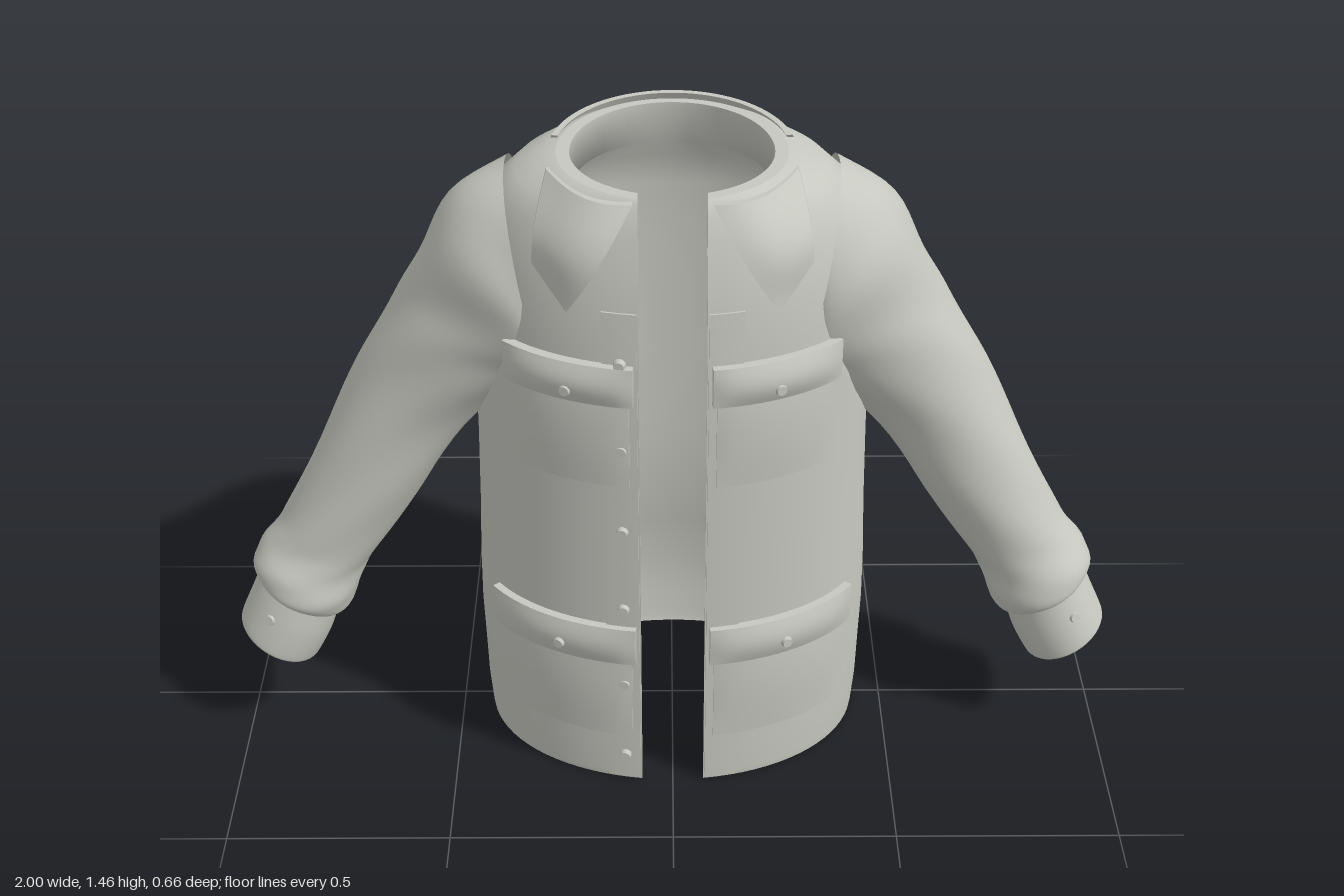
import * as THREE from 'three';

const fabric = new THREE.MeshStandardMaterial({ color: 0xc6c7bf, side: THREE.DoubleSide });
fabric.name = 'pale grey fabric';

// Body cross-sections: y, half width, front depth, back depth
const BODY = [
  [0.005, 0.43, 0.312, 0.29], [0.02, 0.432, 0.314, 0.294], [0.1, 0.438, 0.313, 0.303],
  [0.2, 0.44, 0.311, 0.308], [0.32, 0.443, 0.31, 0.293], [0.45, 0.441, 0.31, 0.276],
  [0.6, 0.435, 0.31, 0.274], [0.8, 0.43, 0.31, 0.279], [1.0, 0.428, 0.308, 0.283],
  [1.15, 0.425, 0.302, 0.286], [1.25, 0.415, 0.29, 0.285], [1.32, 0.4, 0.275, 0.279],
  [1.39, 0.37, 0.258, 0.268], [1.43, 0.325, 0.243, 0.26], [1.455, 0.27, 0.232, 0.25], [1.462, 0.24, 0.225, 0.245],
];
// Inside of the neck band, then the lining
const LINING = [
  [1.462, 0.212, 0.2, 0.226], [1.37, 0.214, 0.2, 0.23],
  ...BODY.filter(k => k[0] < 1.35).reverse().map(([y, w, f, b]) => [y, w - 0.016, f - 0.016, b - 0.016]),
];
const OPENING = 0.07;

function sectionAt(y) {
  let i = 0;
  while (i < BODY.length - 2 && BODY[i + 1][0] < y) i++;
  const t = THREE.MathUtils.clamp((y - BODY[i][0]) / (BODY[i + 1][0] - BODY[i][0]), 0, 1);
  return BODY[i].map((v, k) => THREE.MathUtils.lerp(v, BODY[i + 1][k], t));
}

// Point on the front of the body, pushed out along its normal
function onFront(x, y, out) {
  const [, w, f] = sectionAt(y);
  const z = f * Math.sqrt(Math.max(0.02, 1 - (x / w) ** 2));
  const n = new THREE.Vector3(x / (w * w), 0, z / (f * f)).normalize();
  return { p: new THREE.Vector3(x, y, z).addScaledVector(n, out), n };
}

// Open row of points around the body, leaving the front gap
function bodyRow([y, w, f, b]) {
  const a = Math.asin(OPENING / w), row = [];
  for (let i = 0; i <= 80; i++) {
    const t = a + (2 * Math.PI - 2 * a) * i / 80, c = Math.cos(t);
    row.push(new THREE.Vector3(w * Math.sin(t), y, c * (c > 0 ? f : b)));
  }
  return row;
}

function loft(rows, closed = false) {
  const n = rows[0].length, index = [];
  for (let r = 0; r < rows.length - 1; r++) {
    for (let c = 0; c < (closed ? n : n - 1); c++) {
      const d = (c + 1) % n, a = r * n;
      index.push(a + c, a + d, a + n + d, a + c, a + n + d, a + n + c);
    }
  }
  const g = new THREE.BufferGeometry().setFromPoints(rows.flat());
  g.setIndex(index);
  g.computeVertexNormals();
  return g;
}

// Box bent by a rule: u across, v up, d through the thickness
function bentBox(nu, nv, rule) {
  const g = new THREE.BoxGeometry(1, 1, 1, nu, nv, 1), p = g.attributes.position;
  for (let i = 0; i < p.count; i++) {
    const q = rule(p.getX(i) + 0.5, p.getY(i) + 0.5, p.getZ(i) + 0.5);
    p.setXYZ(i, q.x, q.y, q.z);
  }
  g.computeVertexNormals();
  return g;
}

// Cloth panel lying on the front, optionally puffed
function panel(x0, x1, y0, y1, thick, puff = 0) {
  return bentBox(14, 10, (u, v, d) => {
    const bulge = puff * Math.sin(Math.PI * u) ** 0.5 * Math.sin(Math.PI * v);
    return onFront(x0 + (x1 - x0) * u, y0 + (y1 - y0) * v, -0.01 + d * (0.01 + thick + bulge)).p;
  });
}

// Sleeve sections: x, y, z, radius in plane, radius in z, tilt of the section
const SLEEVE = [
  [0.31, 1.225, 0.01, 0.215, 0.19, 1.4], [0.345, 1.17, 0.008, 0.225, 0.192, 1.0],
  [0.39, 1.095, 0, 0.198, 0.178, 0.7], [0.46, 1.02, -0.005, 0.166, 0.165, 0.57],
  [0.57, 0.88, -0.01, 0.14, 0.145, 0.55], [0.68, 0.69, 0.008, 0.125, 0.128, 0.54],
  [0.77, 0.54, 0.025, 0.113, 0.118, 0.54], [0.805, 0.48, 0.032, 0.114, 0.12, 0.54],
  [0.835, 0.43, 0.042, 0.124, 0.129, 0.54], [0.855, 0.395, 0.048, 0.121, 0.124, 0.54], [0.862, 0.38, 0.05, 0.095, 0.1, 0.54],
];
const CUFF = [
  [0.852, 0.395, 0.049, 0.1, 0.104, 0.54], [0.88, 0.325, 0.058, 0.103, 0.108, 0.54],
  [0.911, 0.262, 0.065, 0.101, 0.107, 0.54], [0.913, 0.258, 0.065, 0.095, 0.101, 0.54],
  [0.909, 0.264, 0.065, 0.088, 0.094, 0.54], [0.85, 0.4, 0.049, 0.086, 0.09, 0.54],
];

function tube(keys, s, steps, fold) {
  const pos = new THREE.CatmullRomCurve3(keys.map(k => new THREE.Vector3(k[0], k[1], k[2])), false, 'catmullrom');
  const size = new THREE.CatmullRomCurve3(keys.map(k => new THREE.Vector3(k[3], k[4], k[5])), false, 'catmullrom');
  const rows = [];
  for (let r = 0; r <= steps; r++) {
    const c = pos.getPoint(r / steps), q = size.getPoint(r / steps), row = [];
    for (let i = 0; i < 40; i++) {
      const a = s * i / 40 * Math.PI * 2;
      const k = 1 + fold * Math.sin(r * 0.55 + 2 * a) * Math.sin(3 * a + r * 0.2);
      const m = q.x * k * Math.cos(a);
      row.push(new THREE.Vector3(s * (c.x + m * Math.cos(q.z)), c.y + m * Math.sin(q.z), c.z + q.y * k * Math.sin(a)));
    }
    rows.push(row);
  }
  return loft(rows, true);
}

export function createModel() {
  const jacket = new THREE.Group();
  jacket.name = 'jacket';
  const add = (name, geometry) => {
    const m = new THREE.Mesh(geometry, fabric);
    m.name = name;
    jacket.add(m);
    return m;
  };
  const button = (name, p, n) => {
    const b = add(name, new THREE.CylinderGeometry(0.011, 0.014, 0.012, 16).rotateX(Math.PI / 2));
    b.position.copy(p);
    b.lookAt(p.clone().add(n));
  };

  // Body shell, lining and the edges that join them
  const outer = BODY.map(bodyRow), inner = LINING.map(bodyRow);
  add('bodyShell', loft(outer));
  add('lining', loft(inner));
  add('neckEdge', loft([outer.at(-1), inner[0]]));
  add('hemEdge', loft([inner.at(-1), outer[0]]));
  const liningUp = y => {
    let i = 0;
    while (i < LINING.length - 2 && LINING[i + 1][0] > y) i++;
    const t = THREE.MathUtils.clamp((LINING[i][0] - y) / (LINING[i][0] - LINING[i + 1][0]), 0, 1);
    return inner[i].map((p, c) => (c === 0 || c === 80) ? p.clone().lerp(inner[i + 1][c], t) : p);
  };
  for (const [name, c] of [['leftFrontEdge', 0], ['rightFrontEdge', 80]]) {
    const strip = outer.map(row => [liningUp(row[c].y)[c], row[c]]);
    add(name, loft(c ? strip.map(r => r.reverse()) : strip));
  }

  // Back fall of the collar
  add('backCollar', bentBox(36, 6, (u, v, d) => {
    const a = (u - 0.5) * 2 * THREE.MathUtils.lerp(0.95, 1.35, v);
    const grow = d * 0.014, w = THREE.MathUtils.lerp(0.318, 0.243, v), b = THREE.MathUtils.lerp(0.321, 0.264, v ** 1.3);
    return new THREE.Vector3(-(w + grow) * Math.sin(a), 1.32 + 0.146 * v, -(b + grow) * Math.cos(a));
  }));

  for (const s of [1, -1]) {
    const side = s > 0 ? 'left' : 'right';
    // Order the span so that panels keep facing outward on both sides
    const span = (a, b) => (s > 0 ? [a, b] : [-b, -a]);

    add(side + 'Sleeve', tube(SLEEVE, s, 50, 0.02));
    add(side + 'Cuff', tube(CUFF, s, 30, 0));
    button(side + 'CuffButton', new THREE.Vector3(s * 0.918, 0.352, 0.153), new THREE.Vector3(s * 0.4, 0.25, 0.87));

    // Pointed front of the collar
    const tip = new THREE.Vector3(0.215, 1.24, 0.262), low = new THREE.Vector3(0.285, 1.32, 0.2);
    const top = new THREE.Vector3(0.08, 1.462, 0.225), far = new THREE.Vector3(0.255, 1.468, 0.08);
    add(side + 'CollarPoint', bentBox(12, 12, (u, v, d) => {
      const t = s > 0 ? u : 1 - u;
      const q = tip.clone().lerp(low, t).lerp(top.clone().lerp(far, t), v);
      const puff = 0.035 * Math.sin(Math.PI * v) + 0.05 * Math.sin(Math.PI * t) * v;
      q.z += puff + d * 0.016;
      q.x = s * (q.x + puff * 0.2 * t);
      return q;
    }));

    // Placket strip, pockets and flaps
    add(side + 'Placket', panel(...span(0.073, 0.145), 0.012, 1.24, 0.004));
    add(side + 'ChestPocket', panel(...span(0.09, 0.33), 0.83, 1.07, 0.008, 0.006));
    add(side + 'ChestFlap', panel(...span(0.08, 0.34), 1.035, 1.125, 0.02, 0.014));
    add(side + 'HipPocket', panel(...span(0.09, 0.385), 0.14, 0.42, 0.008, 0.008));
    add(side + 'HipFlap', panel(...span(0.08, 0.39), 0.355, 0.452, 0.018, 0.012));
    for (const [name, x, y] of [['ChestFlapButton', 0.21, 1.065], ['HipFlapButton', 0.24, 0.395]]) {
      const { p, n } = onFront(s * x, y, 0.032);
      button(side + name, p, n);
    }
  }

  // Row of front buttons on the right placket
  for (let i = 0; i < 6; i++) {
    const { p, n } = onFront(-0.107, 0.08 + i * 0.21, i === 5 ? 0.014 : 0.008);
    button('frontButton' + (i + 1), p, n);
  }
  return jacket;
}
